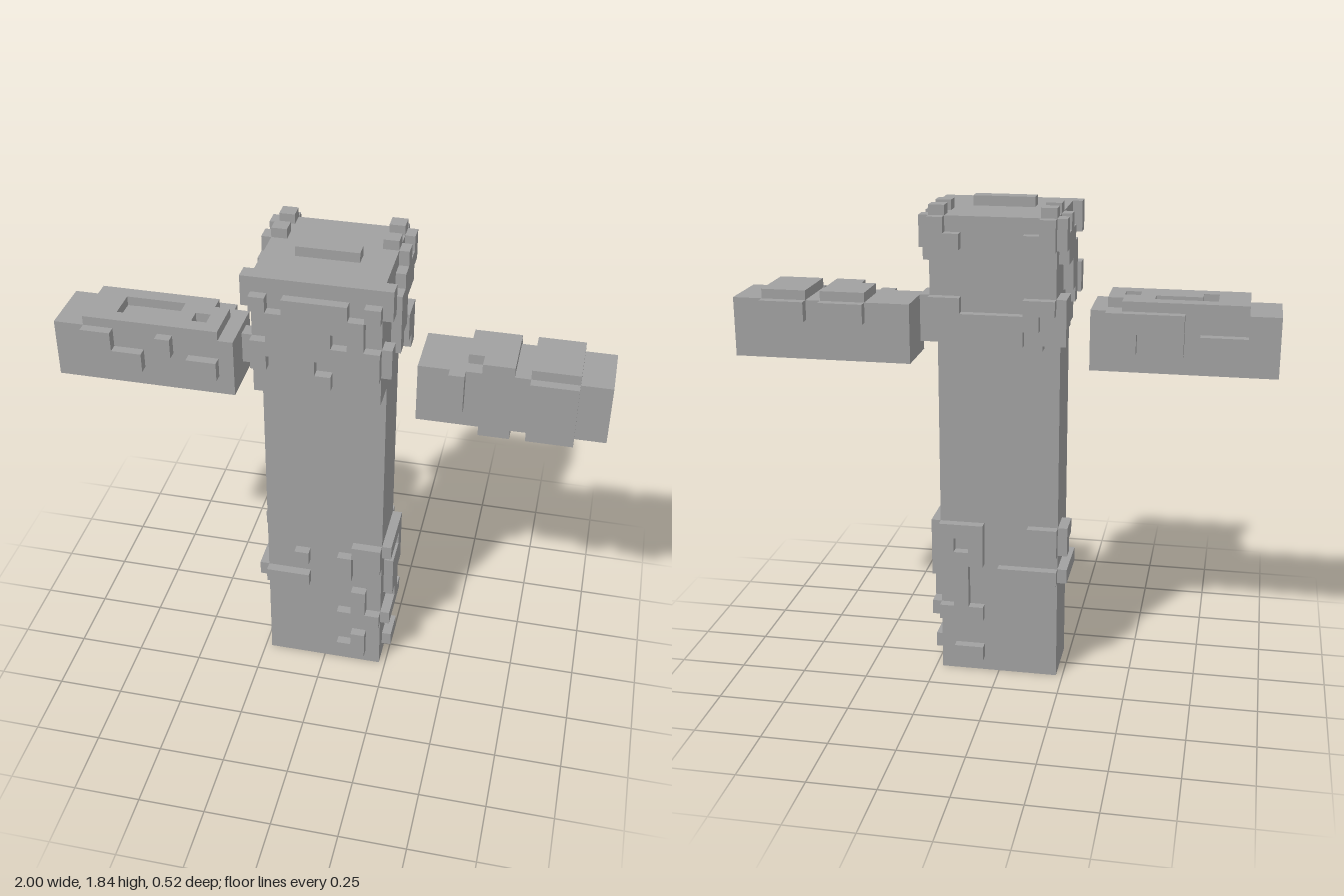
import * as THREE from 'three';
import { mergeGeometries } from 'three/addons/utils/BufferGeometryUtils.js';

const grey = new THREE.MeshStandardMaterial({ color: 0xa0a0a0 });
grey.name = 'plain grey';
const T = 0.036; // thickness of the raised outer layer
const P = 0.0562; // grid cell

// A block is given by its lower and upper corners
function boxGeometry(lo, hi) {
  const g = new THREE.BoxGeometry(hi[0] - lo[0], hi[1] - lo[1], hi[2] - lo[2]);
  return g.translate((lo[0] + hi[0]) / 2, (lo[1] + hi[1]) / 2, (lo[2] + hi[2]) / 2);
}

// Each face: outward axis and sign, then the axes and directions of columns and rows
const FACES = {
  front: [2, 1, 0, 1, 1, -1],
  back: [2, -1, 0, 1, 1, -1],
  left: [0, 1, 2, -1, 1, -1],
  right: [0, -1, 2, -1, 1, -1],
  top: [1, 1, 0, 1, 2, 1],
  bottom: [1, -1, 0, 1, 2, 1],
};

// Raises every run of # cells out of one face of a block
function raisedLayer(group, name, [lo, hi], face, rows) {
  const [n, ns, u, us, v, vs] = FACES[face];
  const parts = [];
  const span = (axis, dir, from, to, count) => {
    const s = (hi[axis] - lo[axis]) / count;
    return dir > 0 ? [lo[axis] + from * s, lo[axis] + to * s] : [hi[axis] - to * s, hi[axis] - from * s];
  };
  rows.forEach((row, r) => {
    for (const run of row.matchAll(/#+/g)) {
      const a = [], b = [];
      [a[u], b[u]] = span(u, us, run.index, run.index + run[0].length, row.length);
      [a[v], b[v]] = span(v, vs, r, r + 1, rows.length);
      [a[n], b[n]] = ns > 0 ? [hi[n], hi[n] + T] : [lo[n] - T, lo[n]];
      parts.push(boxGeometry(a, b));
    }
  });
  const mesh = new THREE.Mesh(mergeGeometries(parts), grey);
  mesh.name = name + face[0].toUpperCase() + face.slice(1) + 'Layer';
  group.add(mesh);
}

// A plain block with raised layers on some faces
function part(root, name, block, layers, layerBlock = block) {
  const group = new THREE.Group();
  group.name = name;
  const core = new THREE.Mesh(boxGeometry(...block), grey);
  core.name = name + 'Block';
  group.add(core);
  for (const face in layers) raisedLayer(group, name, layerBlock, face, layers[face]);
  root.add(group);
}

export function createModel() {
  const root = new THREE.Group();
  root.name = 'blockFigure';

  // Head with hood-like layers
  const side = [
    '#....#.#',
    '#...####',
    '...####.',
    '...##...',
    '#..##...',
    '#..#..##',
    '......##',
    '.......#',
  ];
  part(root, 'head', [[-0.225, 1.35, -0.225], [0.225, 1.8, 0.228]], {
    front: [
      '........',
      '#.####.#',
      '.######.',
      '.####.#.',
      '########',
      '#..#...#',
      '...##...',
      '........',
    ],
    back: [
      '#......#',
      '##....##',
      '........',
      '........',
      '........',
      '##....##',
      '.######.',
      '..##....',
    ],
    left: side,
    right: side,
    top: [
      '#......#',
      '........',
      '#......#',
      '........',
      '..####..',
      '........',
      '........',
      '........',
    ],
    bottom: [
      '........',
      '.######.',
      '........',
      '........',
      '........',
      '........',
      '........',
      '........',
    ],
  });

  // Torso and legs, with layers on the lower rows
  part(root, 'bodyAndLegs', [[-0.225, 0, -0.11], [0.225, 1.35, 0.114]], {
    front: [
      '......##',
      '..#..#.#',
      '.....#..',
      '###.....',
      '......#.',
      '......#.',
      '.....###',
      '........',
      '......#.',
      '.....##.',
      '........',
    ],
    back: [
      '##...###',
      '##...#.#',
      '.....###',
      '####..#.',
      '......#.',
      '......#.',
      '.....###',
      '........',
      '........',
      '.....##.',
      '........',
    ],
    left: [
      '####',
      '...#',
      '.###',
      '.###',
      '.##.',
      '..#.',
      '####',
      '....',
      '....',
      '.##.',
      '....',
    ],
    right: [
      '..##',
      '...#',
      '....',
      '####',
      '....',
      '....',
      '....',
      '....',
      '....',
      '....',
      '....',
    ],
  }, [[-0.225, 0, -0.11], [0.225, 11 * P, 0.114]]);

  // Outstretched arms, separate from the body
  part(root, 'leftArm', [[0.33, 1.23, -0.113], [1, 1.453, 0.108]], {
    front: [
      '..#....###..',
      '..#....###..',
      '........##..',
    ],
    back: [
      '...###.###..',
      '............',
      '............',
    ],
    top: [
      '...###.###..',
      '...###.###..',
      '...###.###..',
      '....##.###..',
    ],
    bottom: [
      '............',
      '............',
      '............',
      '....##.###..',
    ],
  });
  part(root, 'rightArm', [[-1, 1.238, -0.106], [-0.33, 1.46, 0.117]], {
    front: [
      '..##...#....',
      '..####...##.',
      '............',
    ],
    back: [
      '......#####.',
      '..###.#..#..',
      '............',
    ],
    top: [
      '..########..',
      '..##....###.',
      '..##.####.#.',
      '..#########.',
    ],
  });

  return root;
}
